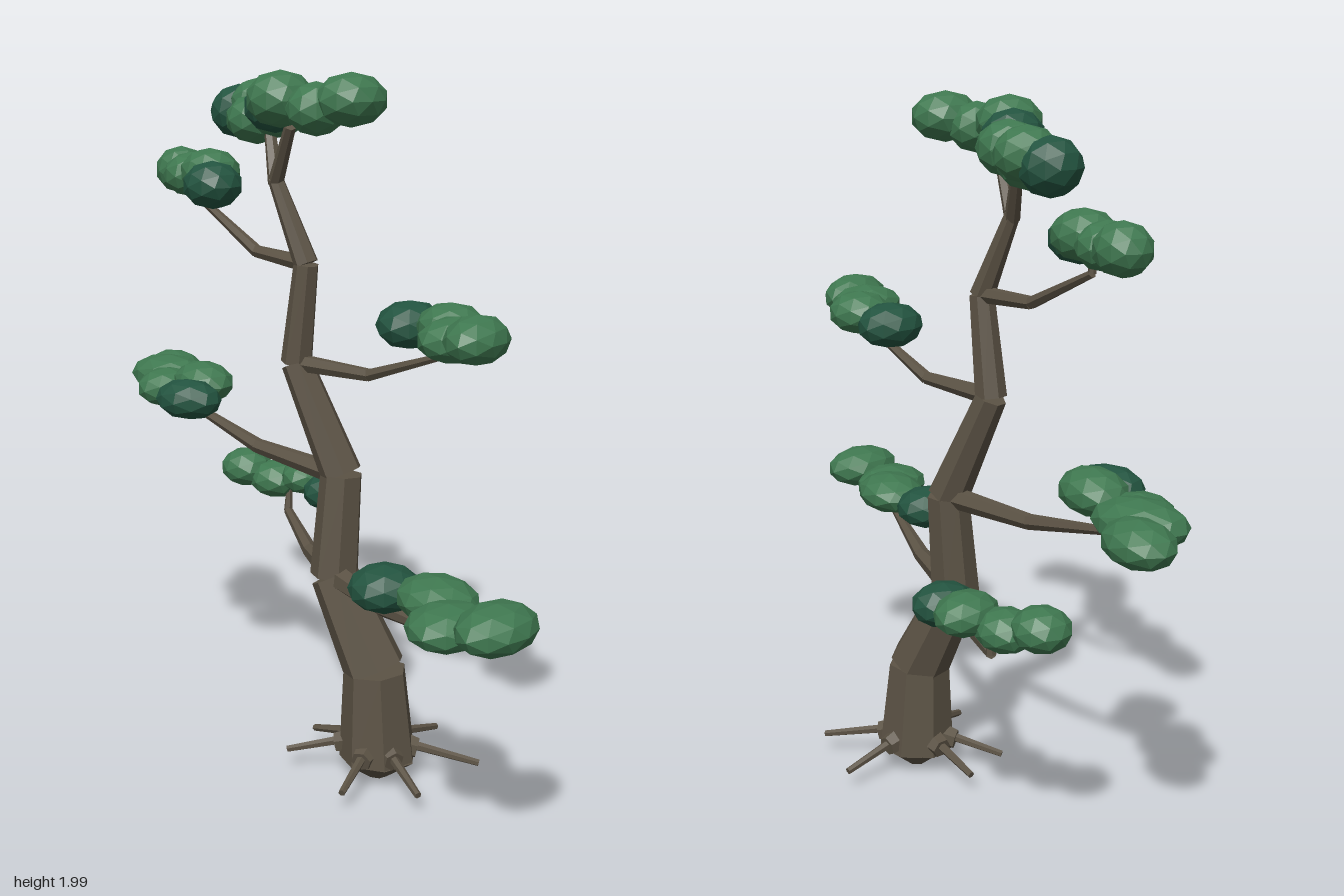
import * as THREE from 'three';

export function createModel() {
  const flat = (name, color) => {
    const m = new THREE.MeshStandardMaterial({ color, flatShading: true });
    m.name = name;
    return m;
  };
  const bark = flat('bark', 0x5c5345);
  const leaf = flat('leafGreen', 0x3f7850);
  const darkLeaf = flat('darkLeafGreen', 0x235440);

  const tree = new THREE.Group();
  tree.name = 'tree';
  const up = new THREE.Vector3(0, 1, 0);
  const group = (name) => {
    const g = new THREE.Group();
    g.name = name;
    tree.add(g);
    return g;
  };

  // Chain of straight tapered segments; each point is [x, y, z, radius]
  function limb(parent, name, points, sides) {
    for (let i = 0; i < points.length - 1; i++) {
      const a = new THREE.Vector3(...points[i]);
      const b = new THREE.Vector3(...points[i + 1]);
      const dir = b.clone().sub(a);
      const mesh = new THREE.Mesh(
        new THREE.CylinderGeometry(points[i + 1][3], points[i][3], dir.length(), sides), bark);
      mesh.name = name;
      mesh.position.copy(a).add(b).multiplyScalar(0.5);
      mesh.quaternion.setFromUnitVectors(up, dir.normalize());
      parent.add(mesh);
    }
  }

  // Trunk with alternating bends, and its rounded foot
  const trunk = group('trunk');
  limb(trunk, 'trunkSegment', [
    [0.195, 0.07, -0.035, 0.112], [0.185, 0.335, -0.03, 0.09], [0.055, 0.595, 0, 0.07],
    [0.06, 0.89, -0.022, 0.06], [-0.075, 1.195, 0.018, 0.045], [-0.04, 1.475, 0.015, 0.035],
    [-0.137, 1.7, 0.035, 0.022],
  ], 7);
  limb(trunk, 'trunkFoot', [[0.195, 0.01, -0.035, 0.03], [0.195, 0.07, -0.035, 0.112]], 7);
  limb(trunk, 'leftFork', [[-0.137, 1.69, 0.035, 0.022], [-0.035, 1.85, 0.08, 0.016]], 6);
  limb(trunk, 'rightFork', [[-0.137, 1.69, 0.035, 0.022], [-0.215, 1.83, -0.02, 0.016]], 6);

  // Roots: thick stub with a thin end, [angle in degrees, reach]
  const roots = group('roots');
  [[-34, 0.295], [23, 0.27], [70, 0.255], [145, 0.26], [182, 0.255], [-90, 0.265]].forEach(([deg, reach]) => {
    const t = THREE.MathUtils.degToRad(deg);
    const at = (r, y, radius) => [0.187 + r * Math.cos(t), y, -0.037 + r * Math.sin(t), radius];
    limb(roots, 'rootStub', [at(0.02, 0.12, 0.045), at(0.118, 0.098, 0.03)], 6);
    limb(roots, 'rootEnd', [at(0.1, 0.108, 0.014), at(reach, 0.066, 0.01)], 6);
  });

  // Branches
  const branches = group('branches');
  [
    [[0.055, 0.595, 0, 0.038], [0.34, 0.6, 0.11, 0.024], [0.66, 0.655, 0.25, 0.011]],
    [[0.05, 0.595, 0, 0.036], [-0.17, 0.58, -0.13, 0.022], [-0.4, 0.62, -0.27, 0.014], [-0.4, 0.69, -0.275, 0.01]],
    [[0.05, 0.885, -0.02, 0.032], [-0.29, 0.9, -0.035, 0.022], [-0.66, 0.975, -0.07, 0.01]],
    [[-0.07, 1.195, 0.018, 0.026], [0.19, 1.2, 0.01, 0.018], [0.47, 1.3, 0.03, 0.01]],
    [[-0.04, 1.475, 0.015, 0.024], [-0.25, 1.485, 0, 0.018], [-0.5, 1.6, -0.03, 0.011], [-0.5, 1.65, -0.03, 0.01]],
  ].forEach((points) => limb(branches, 'branch', points, 6));

  // Leaf pads: each blob is [x, y, z, rx, ry, rz]; the first in a pad is dark
  const blob = new THREE.IcosahedronGeometry(1, 1);
  let count = 0;
  function pad(name, blobs) {
    const g = group(name);
    blobs.forEach(([x, y, z, rx, ry, rz], i) => {
      const mesh = new THREE.Mesh(blob, i === 0 ? darkLeaf : leaf);
      mesh.name = i === 0 ? 'darkLeafBlob' : 'leafBlob';
      mesh.position.set(x, y, z);
      mesh.scale.set(rx, ry, rz);
      mesh.rotation.y = 0.25 * Math.sin(++count * 2.3);
      g.add(mesh);
    });
  }
  pad('lowLeftPad', [
    [0.43, 0.71, 0.21, 0.095, 0.063, 0.1], [0.6, 0.72, 0.2, 0.125, 0.06, 0.1],
    [0.71, 0.705, 0.29, 0.105, 0.058, 0.12], [0.85, 0.735, 0.28, 0.093, 0.063, 0.125],
  ]);
  pad('lowRightPad', [
    [-0.235, 0.715, -0.29, 0.08, 0.06, 0.09], [-0.36, 0.735, -0.32, 0.08, 0.058, 0.1],
    [-0.465, 0.71, -0.28, 0.085, 0.058, 0.08], [-0.565, 0.735, -0.25, 0.083, 0.06, 0.08],
  ]);
  pad('middleRightPad', [
    [-0.485, 1.025, 0.06, 0.105, 0.06, 0.08], [-0.54, 1.05, -0.05, 0.11, 0.063, 0.085],
    [-0.68, 1.015, -0.03, 0.09, 0.06, 0.1], [-0.75, 1.03, -0.1, 0.135, 0.063, 0.095],
    [-0.83, 1.02, -0.19, 0.115, 0.06, 0.085],
  ]);
  pad('upperLeftPad', [
    [0.29, 1.345, -0.04, 0.09, 0.065, 0.1], [0.43, 1.36, -0.04, 0.095, 0.063, 0.09],
    [0.53, 1.355, 0.06, 0.09, 0.06, 0.11], [0.61, 1.37, 0.08, 0.08, 0.063, 0.11],
  ]);
  pad('upperRightPad', [
    [-0.375, 1.665, 0.05, 0.088, 0.068, 0.085], [-0.46, 1.69, -0.02, 0.095, 0.068, 0.085],
    [-0.55, 1.675, -0.03, 0.085, 0.065, 0.085], [-0.63, 1.68, -0.06, 0.083, 0.07, 0.075],
  ]);
  pad('crownRightPad', [
    [-0.42, 1.86, -0.1, 0.083, 0.077, 0.085], [-0.345, 1.885, -0.11, 0.085, 0.073, 0.09],
    [-0.275, 1.85, -0.03, 0.085, 0.07, 0.09], [-0.18, 1.88, -0.02, 0.09, 0.075, 0.08],
  ]);
  pad('crownLeftPad', [
    [-0.1, 1.9, 0.07, 0.083, 0.072, 0.09], [-0.02, 1.925, 0.13, 0.09, 0.075, 0.095],
    [0.1, 1.905, 0.12, 0.08, 0.07, 0.085], [0.185, 1.93, 0.08, 0.088, 0.07, 0.1],
  ]);
  return tree;
}
